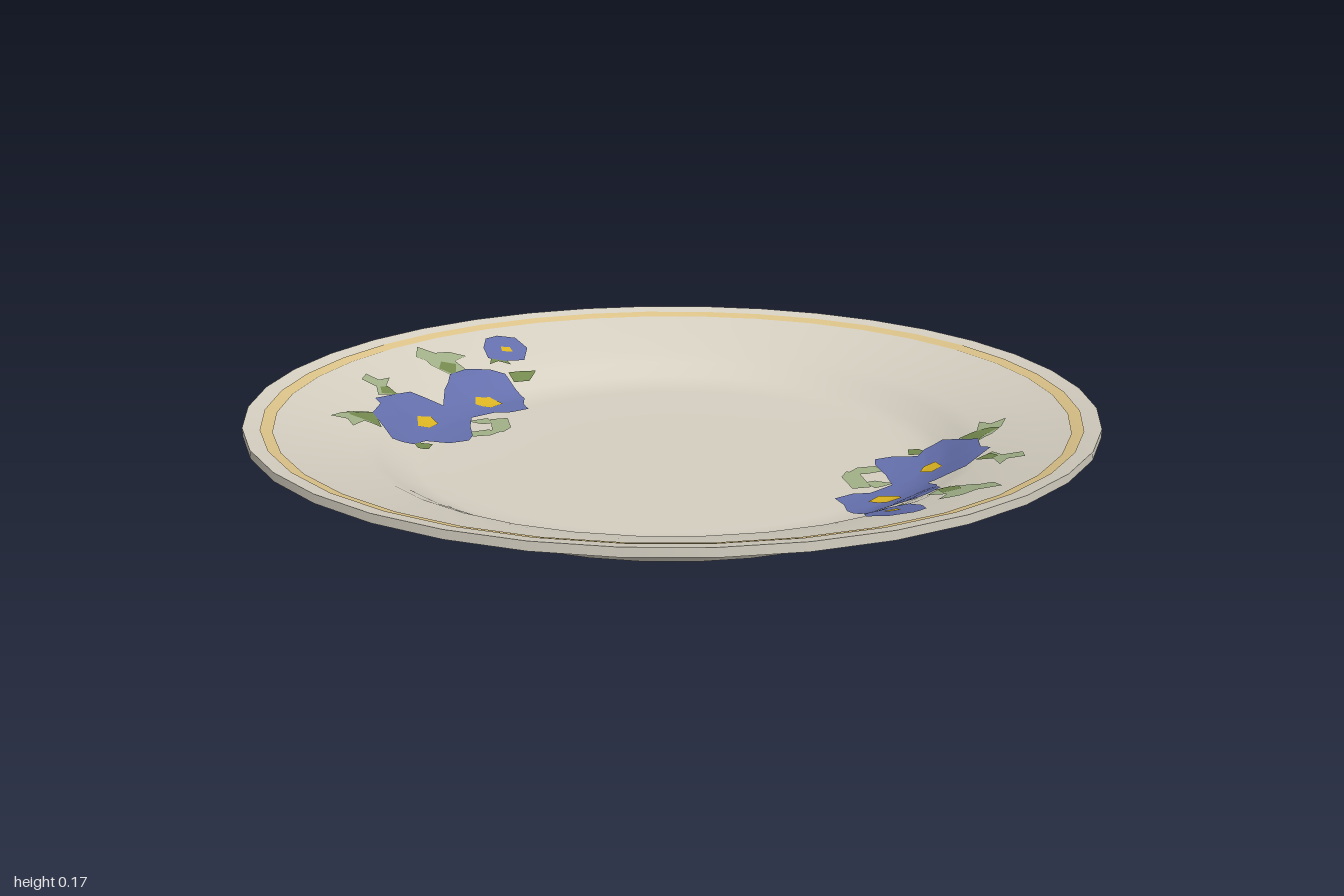
import * as THREE from 'three';

const SEGMENTS = 36;

// Inside of the plate from rim to centre: [radius, height]
const INSIDE = [[1, 0.17], [0.95, 0.157], [0.85, 0.127], [0.74, 0.094], [0.7, 0.075],
  [0.65, 0.047], [0.61, 0.034], [0.55, 0.03], [0.3, 0.03], [0, 0.03]];

const mat = (name, color) => {
  const m = new THREE.MeshStandardMaterial({ color });
  m.name = name;
  return m;
};

// Height of the faceted inside surface above a point
function insideHeight(x, z) {
  const step = (Math.PI * 2) / SEGMENTS;
  const a = Math.atan2(x, z);
  const off = a - (Math.floor(a / step) + 0.5) * step;
  const r = Math.hypot(x, z) * Math.cos(off) / Math.cos(step / 2);
  for (let i = 0; i < INSIDE.length - 1; i++) {
    const [r1, y1] = INSIDE[i], [r0, y0] = INSIDE[i + 1];
    if (r >= r0) return y0 + (y1 - y0) * (r - r0) / (r1 - r0);
  }
  return 0.03;
}

function lathe(name, profile, material) {
  const points = profile.map(([r, y]) => new THREE.Vector2(r, y));
  const mesh = new THREE.Mesh(new THREE.LatheGeometry(points, SEGMENTS), material);
  mesh.name = name;
  return mesh;
}

// Painted patch: outline [x, z, x, z, ...] in hundredths, filled by rings that follow the plate
function patch(name, flat, material, lift, side) {
  const rings = 6;
  const pts = [];
  for (let i = 0; i < flat.length; i += 2) {
    const x0 = flat[i], z0 = flat[i + 1];
    const x1 = flat[(i + 2) % flat.length], z1 = flat[(i + 3) % flat.length];
    for (const t of [0, 0.5]) pts.push([(x0 + (x1 - x0) * t) / 100, (z0 + (z1 - z0) * t) / 100]);
  }
  const n = pts.length;
  let area = 0, cx = 0, cz = 0;
  pts.forEach(([x, z], i) => {
    const [u, w] = pts[(i + 1) % n];
    area += x * w - u * z;
    cx += x / n;
    cz += z / n;
  });
  if (area > 0) pts.reverse();

  const shift = side < 0 ? 0.015 : 0;
  const pos = [], index = [];
  const add = (x, z) => {
    const px = side * x - shift, pz = side * z - shift;
    pos.push(px, insideHeight(px, pz) + lift, pz);
  };
  add(cx, cz);
  for (let k = 1; k <= rings; k++) {
    for (const [x, z] of pts) add(cx + (x - cx) * k / rings, cz + (z - cz) * k / rings);
  }
  for (let i = 0; i < n; i++) {
    const j = (i + 1) % n;
    index.push(0, 1 + i, 1 + j);
    for (let k = 0; k < rings - 1; k++) {
      const a = 1 + k * n, b = a + n;
      index.push(a + i, b + i, b + j, a + i, b + j, a + j);
    }
  }
  const geo = new THREE.BufferGeometry();
  geo.setAttribute('position', new THREE.Float32BufferAttribute(pos, 3));
  geo.setIndex(index);
  geo.computeVertexNormals();
  const mesh = new THREE.Mesh(geo, material);
  mesh.name = name;
  return mesh;
}

const PALE_LEAVES = [
  [66, 20, 70, 21, 73, 16, 74, 20, 78, 20, 75, 24, 71, 27, 67, 28],
  [60, 42, 65, 40, 65, 45, 68.5, 48, 67, 52, 64, 49.5, 61, 52, 62.5, 46],
  [32.5, 37, 33, 28.5, 35.5, 25, 38, 27, 37.5, 32, 37, 37],
  [35.5, 26, 39, 23, 43.5, 23, 44, 27, 39, 28],
  [37, 33.5, 39.5, 33, 43, 36, 37.5, 38],
  [39.5, 62, 44, 58, 49, 62.5, 50, 65, 52.5, 66.5, 51.5, 72.5, 47, 70, 43, 71.5, 38.5, 70, 42, 66.5],
];

const DARK_LEAVES = [
  [66, 20, 69, 21, 73, 23, 74, 25, 70, 26, 67, 28],
  [54, 18, 55.5, 14, 58, 14.5, 59, 19],
  [60, 42, 64, 41, 64, 45, 62, 46],
  [20, 65, 22.5, 61, 27, 59.5, 28, 63, 23.5, 64.5],
  [43, 58, 47, 61, 46, 65, 42, 64.5],
  [26.5, 66.5, 30, 68, 32.5, 66, 31.5, 70, 28, 70],
];

const PETALS = [
  [45, 19, 50, 18, 55.5, 20, 59, 16, 64, 15, 66, 22, 67.5, 27, 65, 34, 66, 37, 60.5, 41.5, 56.5, 44.5,
    50, 43, 46, 42, 41.5, 39, 43, 31, 43.5, 23],
  [39.5, 39, 44, 36.5, 48.5, 42, 47, 50, 45.5, 54, 44.5, 58, 39.5, 62, 33, 63, 29, 62, 27, 56.5,
    25.5, 52, 26.5, 47.5, 26, 43, 31, 41, 35, 41.5],
  [22.5, 69, 28, 68, 32.5, 69, 33, 74.5, 31.5, 80, 28, 82, 23, 81, 20.5, 75.5],
];

const CENTRES = [
  [56.5, 28, 56, 33, 52.5, 35, 51, 32, 53.5, 28.5],
  [32, 48, 35.5, 45, 39.5, 46.5, 39, 50, 35, 51],
  [25, 73, 28, 73, 28, 75.5, 25.5, 75.5],
];

export function createModel() {
  const cream = mat('cream glaze', 0xd6d0c2);
  const gold = mat('pale gold', 0xdcc389);
  const blue = mat('petal blue', 0x6570ad);
  const yellow = mat('flower yellow', 0xdcb522);
  const green = mat('leaf green', 0x74894f);
  const paleGreen = mat('pale leaf green', 0xa2b189);

  const plate = new THREE.Group();
  plate.name = 'plate';

  // Body, in separate sweeps so that the foot and rim edges stay sharp
  plate.add(
    lathe('base', [[0, 0.02], [0.6, 0.012], [0.64, 0]], cream),
    lathe('underside', [[0.64, 0], [0.648, 0.012], [0.68, 0.04], [0.735, 0.071], [1, 0.15]], cream),
    lathe('rimEdge', [[1, 0.15], [1, 0.17]], cream),
    lathe('inside', INSIDE, cream),
    lathe('goldBand', [0.962, 0.95, 0.934].map((r) => [r, insideHeight(0, r) + 0.002]), gold),
  );

  // Two flower sprays, opposite each other
  for (const side of [1, -1]) {
    const spray = new THREE.Group();
    spray.name = side > 0 ? 'frontFlowers' : 'backFlowers';
    for (const s of PALE_LEAVES) spray.add(patch('paleLeaf', s, paleGreen, 0.003, side));
    for (const s of DARK_LEAVES) spray.add(patch('leaf', s, green, 0.0045, side));
    for (const s of PETALS) spray.add(patch('petals', s, blue, 0.006, side));
    for (const s of CENTRES) spray.add(patch('flowerCentre', s, yellow, 0.008, side));
    plate.add(spray);
  }
  return plate;
}
